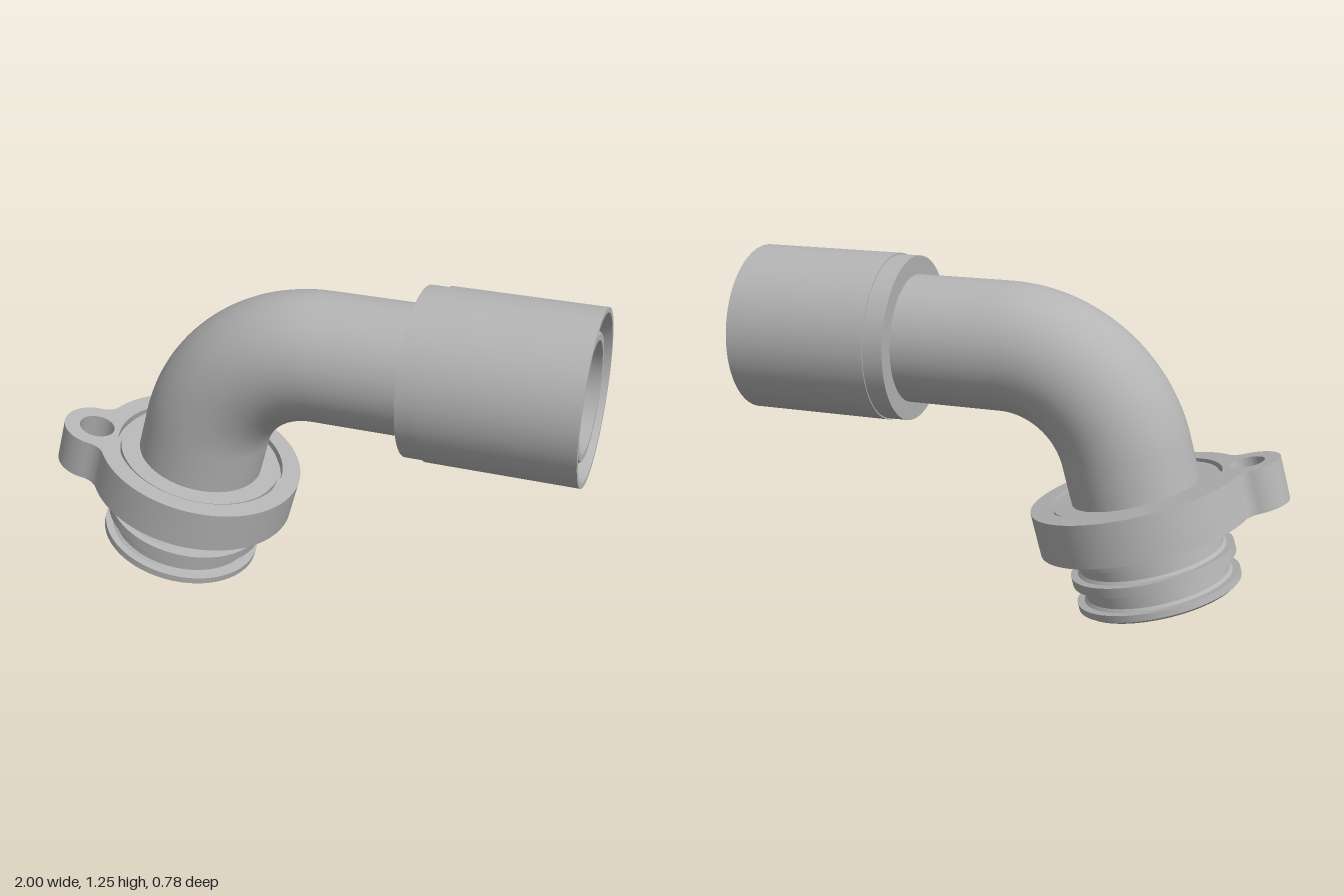
import * as THREE from 'three';
import { toCreasedNormals } from 'three/addons/utils/BufferGeometryUtils.js';

const TILT = Math.PI / 12;          // lean of the flanged end
const AXIS_Y = 0.952;               // height of the straight outlet
const BEND_X = 0.03, BEND_R = 0.47; // start and radius of the elbow

// Straight outlet, 75 degree elbow and short straight leg as one centre line
class ElbowCurve extends THREE.Curve {
  constructor(xEnd, leg) {
    super();
    this.xEnd = xEnd;
    this.leg = leg;
  }
  getPoint(t, target = new THREE.Vector3()) {
    const sweep = Math.PI / 2 - TILT;
    const straight = this.xEnd - BEND_X, arc = BEND_R * sweep;
    const d = t * (straight + arc + this.leg);
    if (d < straight) return target.set(this.xEnd - d, AXIS_Y, 0);
    const a = Math.min((d - straight) / BEND_R, sweep);
    const rest = Math.max(d - straight - arc, 0);
    return target.set(
      BEND_X - BEND_R * Math.sin(a) - rest * Math.sin(TILT),
      AXIS_Y - BEND_R * (1 - Math.cos(a)) - rest * Math.cos(TILT), 0);
  }
}

export function createModel() {
  const model = new THREE.Group();
  const grey = new THREE.MeshStandardMaterial({ color: 0xb4b4b4, side: THREE.DoubleSide });
  grey.name = 'plain grey';

  const add = (parent, name, geometry) => {
    const mesh = new THREE.Mesh(geometry, grey);
    mesh.name = name;
    parent.add(mesh);
    return mesh;
  };
  const lathe = (points) => toCreasedNormals(
    new THREE.LatheGeometry(points.map(([r, y]) => new THREE.Vector2(r, y)), 96), 0.5);

  // Pipe wall and bore
  add(model, 'elbowPipe', new THREE.TubeGeometry(new ElbowCurve(0.965, 0.24), 120, 0.235, 64));
  add(model, 'pipeBore', new THREE.TubeGeometry(new ElbowCurve(0.985, 0.44), 120, 0.195, 64));

  // Outlet parts turn about x
  const outlet = new THREE.Group();
  outlet.name = 'outlet';
  outlet.position.y = AXIS_Y;
  outlet.rotation.z = -Math.PI / 2;
  model.add(outlet);
  add(outlet, 'pipeTip', lathe([[0.235, 0.965], [0.218, 0.985], [0.195, 0.985]]));
  add(outlet, 'couplingSleeve', lathe([
    [0.23, 0.385], [0.303, 0.385], [0.303, 0.46], [0.308, 0.46], [0.308, 1],
    [0.29, 1], [0.262, 0.9], [0.262, 0.85], [0.23, 0.85],
  ]));

  // Tilted inlet: local y = 0 is the top face of the flange
  const inlet = new THREE.Group();
  inlet.name = 'inlet';
  inlet.position.set(-0.46, 0.471, 0);
  inlet.rotation.z = -TILT;
  model.add(inlet);

  // Flange ring with a bolt ear, joined by concave fillets
  const R = 0.388, r = 0.123, f = 0.07, ex = -0.39, ey = -0.11;
  const dist = Math.hypot(ex, ey), theta = Math.atan2(ey, ex);
  const alpha = Math.acos(((R + f) ** 2 + dist ** 2 - (r + f) ** 2) / (2 * (R + f) * dist));
  const centre = (a) => [(R + f) * Math.cos(a), (R + f) * Math.sin(a)];
  const a1 = theta - alpha, a2 = theta + alpha;
  const [k1x, k1y] = centre(a1), [k2x, k2y] = centre(a2);
  const e1 = Math.atan2(k1y - ey, k1x - ex), e2 = Math.atan2(k2y - ey, k2x - ex);
  const outline = new THREE.Shape();
  outline.absarc(0, 0, R, a2, a1 + Math.PI * 2, false);
  outline.absarc(k1x, k1y, f, a1 + Math.PI, e1 + Math.PI, true);
  outline.absarc(ex, ey, r, e1, e2, false);
  outline.absarc(k2x, k2y, f, e2 + Math.PI, a2 + Math.PI, true);
  for (const [x, y, radius] of [[0, 0, 0.318], [ex, ey, 0.066]]) {
    const hole = new THREE.Path();
    hole.absarc(x, y, radius, 0, Math.PI * 2, true);
    outline.holes.push(hole);
  }
  const flange = new THREE.ExtrudeGeometry(outline, { depth: 0.16, bevelEnabled: false, curveSegments: 64 });
  flange.rotateX(-Math.PI / 2);
  flange.translate(0, -0.16, 0);
  add(inlet, 'boltFlange', toCreasedNormals(flange, 0.5));

  // Spigot with seal grooves and a stepped mouth
  add(inlet, 'groovedSpigot', lathe([
    [0.195, -0.3], [0.222, -0.305], [0.222, -0.395], [0.23, -0.405],
    [0.288, -0.405], [0.302, -0.395], [0.302, -0.37], [0.275, -0.37],
    [0.265, -0.36], [0.265, -0.313], [0.275, -0.303], [0.302, -0.303],
    [0.302, -0.267], [0.275, -0.267], [0.265, -0.257], [0.265, -0.218],
    [0.275, -0.208], [0.302, -0.208], [0.302, -0.13], [0.318, -0.13],
    [0.318, -0.03], [0.305, -0.03], [0.305, -0.008], [0.23, -0.008],
  ]));

  return model;
}
